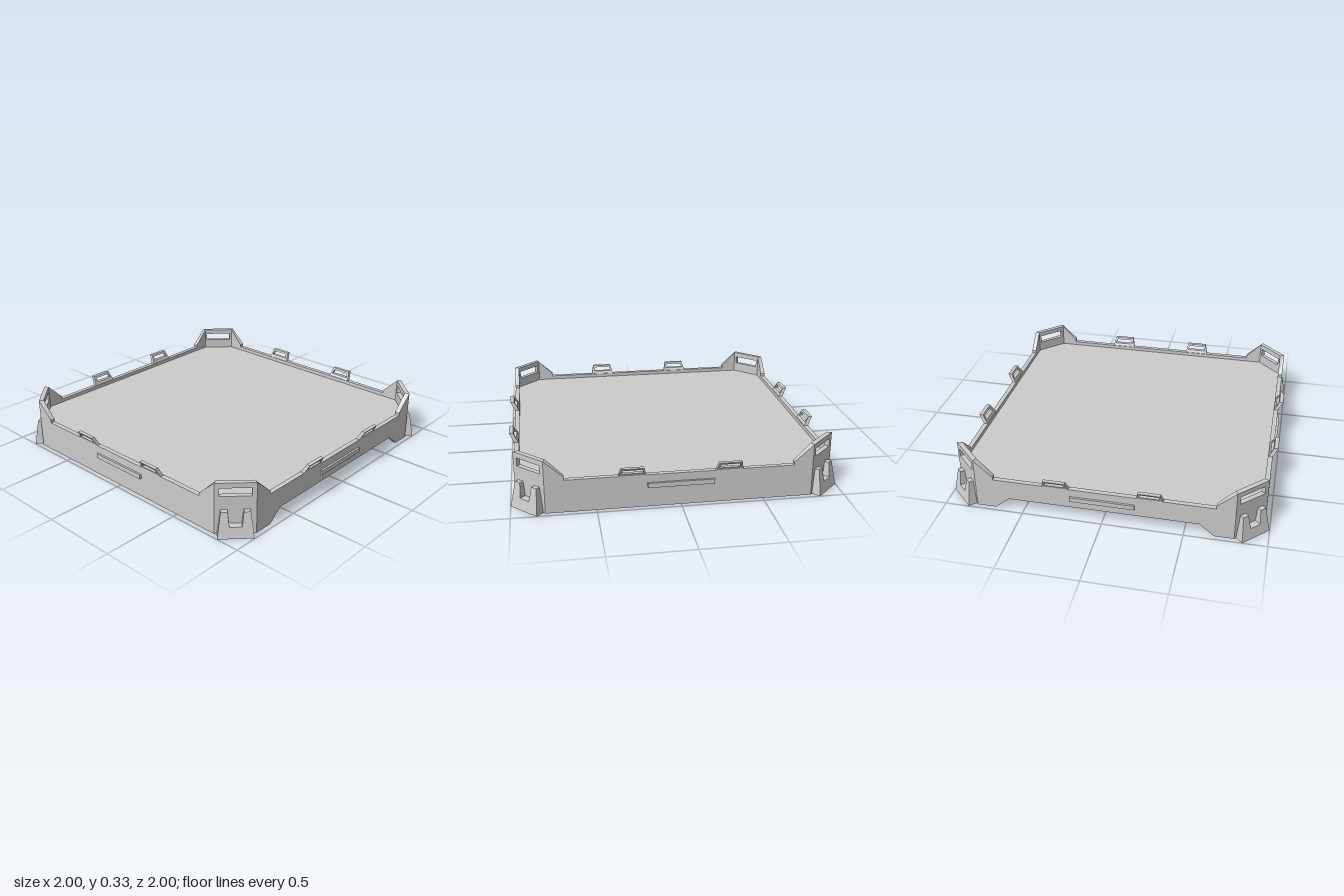
import * as THREE from 'three';

const T = 0.03;      // wall thickness
const HALF = 0.97;   // half width of the tray
const EDGE = 0.8;    // where the corner chamfer begins
const FLOOR = 0.075; // underside of the floor
const MITRE = T * Math.tan(Math.PI / 8);
const CORNER_HALF = (HALF - EDGE) * Math.SQRT1_2;
const CORNER_DIST = (HALF + EDGE) * Math.SQRT1_2;

const material = new THREE.MeshStandardMaterial({ color: 0xcccccc, flatShading: true });

const toPoints = (list) => list.map(([x, y]) => new THREE.Vector2(x, y));

// Extrude an outline along z, optionally with a hole and a rule that moves the vertices
function plate(name, outline, depth, { hole, z = 0, rule } = {}) {
  const shape = new THREE.Shape(toPoints(outline));
  if (hole) shape.holes.push(new THREE.Path(toPoints(hole)));
  const geometry = new THREE.ExtrudeGeometry(shape, { depth, bevelEnabled: false });
  if (rule) {
    const p = geometry.attributes.position;
    const v = new THREE.Vector3();
    for (let i = 0; i < p.count; i++) {
      v.fromBufferAttribute(p, i);
      rule(v);
      p.setXYZ(i, v.x, v.y, v.z);
    }
    geometry.computeVertexNormals();
  }
  const mesh = new THREE.Mesh(geometry, material);
  mesh.name = name;
  mesh.position.z = z;
  return mesh;
}

// Shorten the inner face at both ends so neighbouring walls meet in a mitre
const mitre = (half) => (v) => {
  if (v.z < T / 2 && Math.abs(v.x) > half - 1e-4) v.x -= Math.sign(v.x) * MITRE;
};

const mirrored = (right) => [...right, ...right.map(([x, y]) => [-x, y]).reverse()];

// One straight side: wall with raised ends, grip ridge and two leaning loops
function createSide(hasCutout) {
  const side = new THREE.Group();
  side.name = hasCutout ? 'cutoutSide' : 'plainSide';

  const bottom = hasCutout ? [[0.59, FLOOR], [0.68, 0]] : [];
  const outline = mirrored([...bottom, [EDGE, 0], [EDGE, 0.33], [0.685, 0.225], [0.685, 0.205]]);
  side.add(plate('wall', outline, T, { z: HALF - T, rule: mitre(EDGE) }));

  const ridge = new THREE.Mesh(new THREE.BoxGeometry(0.4, 0.03, 0.025), material);
  ridge.name = 'gripRidge';
  ridge.position.set(0, 0.14, HALF + 0.0005);
  side.add(ridge);

  for (const x of [-0.29, 0.29]) {
    const loop = plate('loop',
      mirrored([[0.082, 0.205], [0.068, 0.262]]), 0.025, {
        hole: mirrored([[0.064, 0.223], [0.056, 0.25]]),
        z: 0.945,
        rule: (v) => { v.z += (v.y - 0.205) * 0.53; },
      });
    loop.position.x = x;
    side.add(loop);
  }
  return side;
}

// One chamfered corner: windowed panel and a flared, notched foot
function createCorner() {
  const corner = new THREE.Group();
  corner.name = 'corner';
  corner.add(plate('cornerPanel',
    mirrored([[CORNER_HALF, 0], [CORNER_HALF, 0.33]]), T, {
      hole: mirrored([[0.092, 0.245], [0.092, 0.297]]),
      z: CORNER_DIST - T,
      rule: mitre(CORNER_HALF),
    }));
  corner.add(plate('cornerFoot',
    mirrored([[0.106, 0], [0.085, 0.16], [0.046, 0.16], [0.036, 0.07]]), T, {
      z: CORNER_DIST,
      rule: (v) => { if (v.z > 0) v.z = 0.056 - (v.y / 0.16) * 0.028; },
    }));
  return corner;
}

export function createModel() {
  const model = new THREE.Group();
  model.name = 'stackingTray';

  // Eight-sided floor slab between the walls
  const a = HALF - T, b = EDGE - MITRE;
  const floor = plate('floor', mirrored([[b, -a], [a, -b], [a, b], [b, a]]), 0.105);
  floor.rotation.x = -Math.PI / 2;
  floor.position.y = FLOOR;
  model.add(floor);

  for (let i = 0; i < 4; i++) {
    const side = createSide(i % 2 === 0);
    side.rotation.y = i * Math.PI / 2;
    const corner = createCorner();
    corner.rotation.y = (i + 0.5) * Math.PI / 2;
    model.add(side, corner);
  }
  return model;
}
